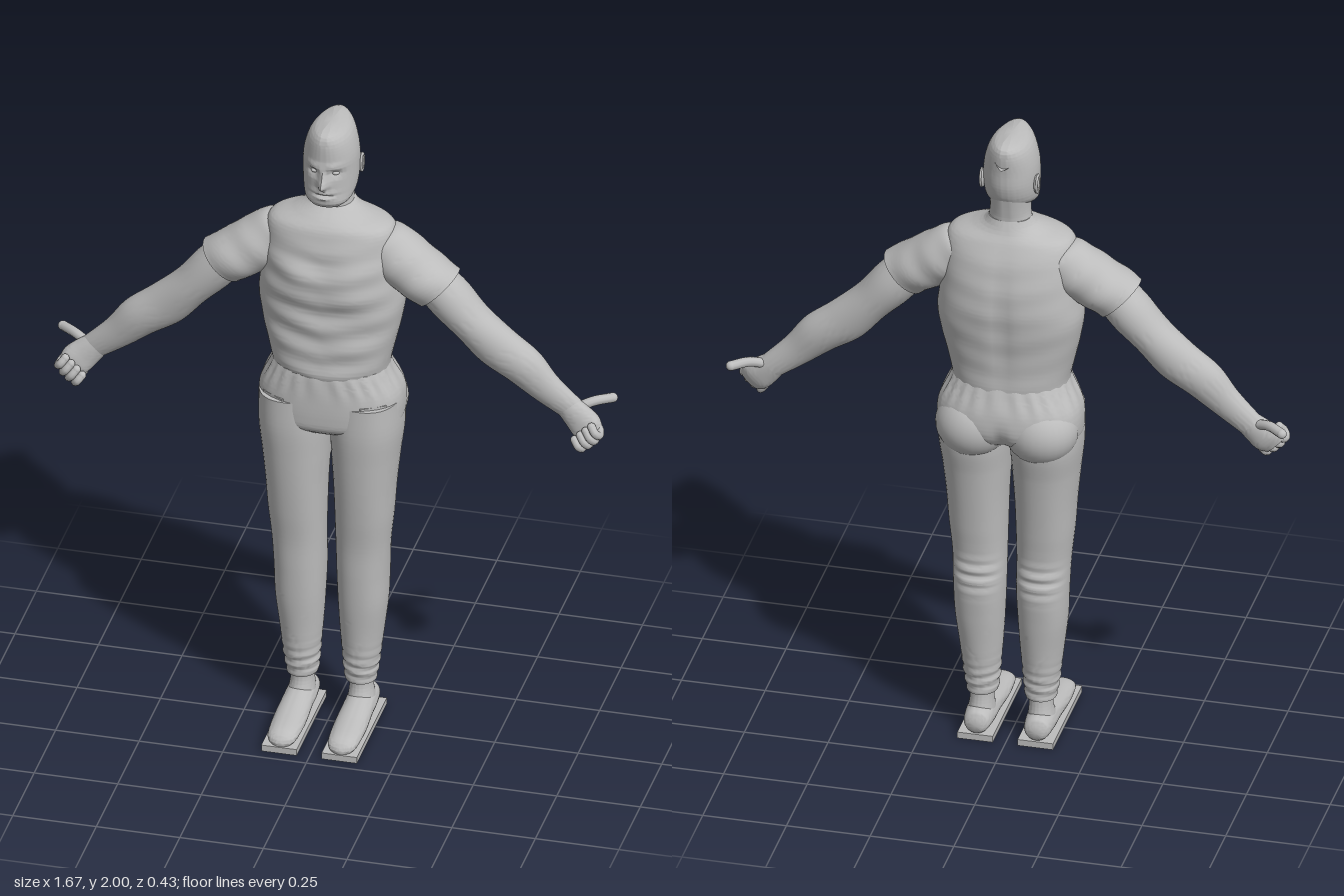
import * as THREE from 'three';
import { mergeGeometries, toCreasedNormals } from 'three/addons/utils/BufferGeometryUtils.js';

const V = (x, y, z) => new THREE.Vector3(x, y, z);
const X = V(1, 0, 0), Y = V(0, 1, 0), Z = V(0, 0, 1), ARM = V(0.707, 0.707, 0);

// Smooth closed loft. Rows are [x, y, z, radiusU, radiusV, power] and run along u cross v.
function loft(rows, u, v, { steps = 40, n = 40, deform } = {}) {
  const path = new THREE.CatmullRomCurve3(rows.map(r => V(r[0], r[1], r[2])), false, 'catmullrom');
  const size = new THREE.CatmullRomCurve3(rows.map(r => V(r[3], r[4], r[5] || 2)), false, 'catmullrom');
  const pos = [], index = [];
  for (let i = 0; i <= steps; i++) {
    const c = path.getPoint(i / steps), s = size.getPoint(i / steps);
    for (let j = 0; j < n; j++) {
      const a = (j / n) * Math.PI * 2, ca = Math.cos(a), sa = Math.sin(a);
      const round = t => Math.sign(t) * Math.abs(t) ** (2 / s.z);
      const p = c.clone().addScaledVector(u, s.x * round(ca)).addScaledVector(v, s.y * round(sa));
      if (deform) deform(p, ca, sa);
      pos.push(p.x, p.y, p.z);
      if (i < steps) {
        const k = i * n, j2 = (j + 1) % n;
        index.push(k + j, k + j2, k + n + j, k + j2, k + n + j2, k + n + j);
      }
    }
  }
  // end caps
  const first = pos.length / 3, last = steps * n;
  for (const t of [0, 1]) pos.push(...path.getPoint(t).toArray());
  for (let j = 0; j < n; j++) {
    const j2 = (j + 1) % n;
    index.push(first, j2, j, first + 1, last + j, last + j2);
  }
  const g = new THREE.BufferGeometry();
  g.setAttribute('position', new THREE.Float32BufferAttribute(pos, 3));
  g.setIndex(index);
  return toCreasedNormals(g, 0.95);
}

// Horizontal sections, top to bottom: [y, centreX, radiusX, frontZ, backZ, power]
const stack = (rows, opt) => loft(
  rows.map(([y, x, rx, f, b, p]) => [x, y, (f + b) / 2, rx, (f - b) / 2, p]), X, Z, opt);

function mirrored(geo) {
  const g = geo.index ? geo.toNonIndexed() : geo.clone();
  g.scale(-1, 1, 1);
  for (const key of ['position', 'normal']) {
    const a = g.attributes[key];
    for (let i = 0; i < a.count; i += 3) {
      const p = V().fromBufferAttribute(a, i + 1), q = V().fromBufferAttribute(a, i + 2);
      a.setXYZ(i + 1, q.x, q.y, q.z);
      a.setXYZ(i + 2, p.x, p.y, p.z);
    }
  }
  return g;
}

const ball = (x, y, z, rx, ry, rz) =>
  new THREE.SphereGeometry(1, 28, 20).scale(rx, ry, rz).translate(x, y, z);

// Round-ended tube through a few points
function finger(points, r) {
  const tube = new THREE.TubeGeometry(new THREE.CatmullRomCurve3(points), 14, r, 10);
  const ends = [points[0], points[points.length - 1]].map(p => ball(p.x, p.y, p.z, r, r, r));
  return mergeGeometries([tube, ...ends]);
}

const bell = (d, w) => Math.exp(-((d / w) ** 2));

export function createModel() {
  const model = new THREE.Group();
  const grey = new THREE.MeshStandardMaterial({ color: 0xbcbcbc });
  grey.name = 'grey';
  const add = (name, geo) => {
    const m = new THREE.Mesh(geo, grey);
    m.name = name;
    model.add(m);
  };
  const pair = (name, geo) => {
    add(name + 'Left', geo);
    add(name + 'Right', mirrored(geo));
  };

  // Head, with face modelled by soft bumps
  add('head', stack([
    [1.999, 0, 0.018, 0.03, -0.13], [1.988, 0, 0.046, 0.047, -0.153], [1.962, 0, 0.066, 0.054, -0.157],
    [1.91, 0, 0.08, 0.053, -0.152], [1.85, 0, 0.082, 0.05, -0.147], [1.8, 0, 0.078, 0.05, -0.125],
    [1.772, 0, 0.067, 0.052, -0.075], [1.756, 0, 0.046, 0.042, -0.025],
  ], {
    steps: 72, n: 80, deform: (p, ca, sa) => {
      if (sa <= 0) return;
      const ax = Math.abs(p.x), y = p.y;
      p.z += 0.032 * bell(ax, 0.014) * bell(y - 1.836, 0.017)      // nose tip
        + 0.016 * bell(ax, 0.011) * bell(y - 1.862, 0.022)         // nose bridge
        + 0.007 * bell(ax - 0.03, 0.028) * bell(y - 1.894, 0.01)   // brow
        - 0.013 * bell(ax - 0.032, 0.018) * bell(y - 1.871, 0.012) // eye socket
        + 0.008 * bell(ax, 0.03) * bell(y - 1.807, 0.006)          // upper lip
        - 0.006 * bell(ax, 0.03) * bell(y - 1.797, 0.004)          // mouth
        + 0.007 * bell(ax, 0.025) * bell(y - 1.788, 0.006);        // lower lip
    },
  }));
  pair('eye', ball(0.031, 1.87, 0.027, 0.012, 0.007, 0.012));
  pair('ear', mergeGeometries([
    ball(0.08, 1.852, -0.078, 0.008, 0.031, 0.018),
    new THREE.TorusGeometry(0.016, 0.004, 8, 24).scale(1, 1.6, 1).rotateY(Math.PI / 2).translate(0.084, 1.852, -0.078),
  ]));
  // Swept tuft at the back of the hair
  add('hairTuft', loft([
    [0, 1.965, -0.1, 0.05, 0.026], [0, 1.96, -0.145, 0.032, 0.027], [0, 1.952, -0.168, 0.016, 0.018], [0, 1.945, -0.185, 0.003, 0.004],
  ], X, Y, { steps: 16, n: 20 }));
  add('neck', stack([
    [1.84, 0, 0.06, -0.01, -0.139], [1.77, 0, 0.06, -0.005, -0.126], [1.73, 0, 0.064, -0.012, -0.122], [1.68, 0, 0.075, 0.005, -0.13],
  ]));

  // Shirt body with sloping shoulders and cloth folds
  add('shirt', stack([
    [1.738, 0, 0.062, -0.03, -0.122], [1.718, 0, 0.08, 0.002, -0.13], [1.7, 0, 0.115, 0.03, -0.138], [1.672, 0, 0.18, 0.053, -0.155, 2.2],
    [1.62, 0, 0.196, 0.066, -0.178, 2.3], [1.55, 0, 0.203, 0.08, -0.195, 2.3], [1.48, 0, 0.21, 0.086, -0.202, 2.3],
    [1.42, 0, 0.216, 0.079, -0.199, 2.3], [1.35, 0, 0.206, 0.078, -0.19, 2.3], [1.28, 0, 0.19, 0.08, -0.182, 2.3],
    [1.22, 0, 0.176, 0.08, -0.18, 2.3], [1.19, 0, 0.172, 0.074, -0.178, 2.3],
  ], {
    steps: 100, n: 72, deform: (p, ca, sa) => {
      const ax = Math.abs(p.x), low = Math.min(1, Math.max(0, (1.68 - p.y) / 0.1));
      const fold = Math.sin(p.y * 75 - ax * 14) + 0.5 * Math.sin(p.y * 43 + p.x * 22);
      p.z += low * (sa > 0 ? 0.0035 * fold * sa : 0.001 * fold * sa);
      p.z += 0.01 * bell(ax - 0.085, 0.06) * bell(p.y - 1.52, 0.06) * Math.max(0, sa); // chest
      p.z += 0.01 * bell(ax, 0.025) * bell(p.y - 1.42, 0.18) * Math.max(0, -sa);       // spine
    },
  }));

  // Arms
  pair('sleeve', loft([
    [0.09, 1.61, -0.06, 0.04, 0.05], [0.14, 1.61, -0.06, 0.075, 0.075], [0.2, 1.567, -0.054, 0.085, 0.086], [0.26, 1.528, -0.046, 0.082, 0.088],
    [0.3, 1.503, -0.042, 0.08, 0.087], [0.325, 1.486, -0.042, 0.08, 0.08],
  ], ARM, Z, { deform: p => { p.z += 0.002 * Math.sin((p.x - p.y) * 50 + p.z * 20); } }));
  pair('arm', loft([
    [0.28, 1.53, -0.045, 0.06, 0.06], [0.35, 1.455, -0.05, 0.068, 0.068], [0.42, 1.38, -0.05, 0.062, 0.063],
    [0.495, 1.307, -0.052, 0.068, 0.055], [0.575, 1.25, -0.052, 0.063, 0.049], [0.64, 1.187, -0.053, 0.05, 0.036],
    [0.715, 1.125, -0.058, 0.04, 0.027],
  ], ARM, Z));
  pair('palm', loft([
    [0.695, 1.142, -0.058, 0.036, 0.027], [0.735, 1.106, -0.052, 0.046, 0.029],
    [0.765, 1.078, -0.045, 0.048, 0.029, 2.5], [0.786, 1.058, -0.04, 0.038, 0.02],
  ], ARM, Z, { steps: 20, n: 28 }));
  const curls = [];
  for (let i = 0; i < 4; i++) {
    const o = (i - 1.5) * 0.021, k = 1 - Math.abs(i - 1.6) * 0.12;
    const at = (d, z) => V(0.765 + o * 0.8 + d * 0.6 * k, 1.073 + o * 0.8 - d * 0.8 * k, z);
    curls.push(finger([at(0, -0.042), at(0.03, -0.036), at(0.038, -0.012), at(0.02, 0.0), at(-0.005, -0.008)], 0.0125));
  }
  pair('curledFingers', mergeGeometries(curls));
  pair('thumb', finger([V(0.72, 1.125, -0.055), V(0.775, 1.143, -0.085), V(0.823, 1.142, -0.12)], 0.0145));

  // Trousers: gathered waist, hips and seat
  add('trouserHips', stack([
    [1.21, 0, 0.17, 0.076, -0.176, 2.3], [1.18, 0, 0.182, 0.08, -0.186, 2.4], [1.12, 0, 0.21, 0.083, -0.204, 2.5],
    [1.06, 0, 0.215, 0.083, -0.205, 2.5], [1.02, 0, 0.205, 0.077, -0.18, 2.4], [0.995, 0, 0.15, 0.05, -0.13, 2.2],
  ], {
    steps: 50, n: 120, deform: (p, ca, sa) => {
      const g = 0.003 * bell(p.y - 1.17, 0.035) * Math.sin(Math.atan2(sa, ca) * 24);
      p.x += g * ca;
      p.z += g * sa;
      p.z += 0.016 * bell(p.x, 0.02) * bell(p.y - 1.03, 0.05) * Math.max(0, -sa); // seat cleft
    },
  }));
  pair('seat', ball(0.102, 1.055, -0.11, 0.11, 0.105, 0.105));
  pair('pocket', new THREE.BoxGeometry(0.08, 0.006, 0.012).rotateY(0.55).translate(0.148, 1.105, 0.05));

  // Trouser legs with folds behind the knee and at the cuff
  pair('trouserLeg', stack([
    [1.1, 0.108, 0.102, 0.079, -0.18, 2.4], [1, 0.107, 0.106, 0.08, -0.186, 2.3], [0.9, 0.104, 0.099, 0.072, -0.168, 2.2],
    [0.8, 0.102, 0.091, 0.062, -0.153, 2.2], [0.7, 0.1, 0.086, 0.05, -0.14, 2.2], [0.6, 0.096, 0.08, 0.037, -0.13, 2.2],
    [0.5, 0.094, 0.077, 0.032, -0.141, 2.2], [0.4, 0.094, 0.073, 0.026, -0.132, 2.2], [0.3, 0.091, 0.065, 0.017, -0.12],
    [0.2, 0.089, 0.054, 0.009, -0.109], [0.135, 0.087, 0.046, 0.001, -0.103],
  ], {
    steps: 140, n: 40, deform: (p, ca, sa) => {
      const knee = 0.006 * bell(p.y - 0.545, 0.045) * Math.max(0, -sa) * Math.sin(p.y * 170);
      const cuff = 0.003 * bell(p.y - 0.185, 0.05) * Math.sin(p.y * 190 + ca * 1.5);
      p.x += cuff * ca;
      p.z += (knee + cuff) * sa;
    },
  }));

  // Feet
  pair('ankle', stack([[0.17, 0.087, 0.035, -0.014, -0.092], [0.11, 0.088, 0.035, -0.012, -0.096], [0.06, 0.09, 0.042, 0.01, -0.11]]));
  pair('shoe', loft([
    [0.09, 0.045, -0.13, 0.022, 0.022], [0.09, 0.052, -0.115, 0.038, 0.036], [0.09, 0.054, -0.06, 0.045, 0.041],
    [0.09, 0.052, 0, 0.046, 0.037], [0.09, 0.043, 0.09, 0.049, 0.031], [0.09, 0.038, 0.17, 0.045, 0.025],
    [0.09, 0.032, 0.2, 0.034, 0.018], [0.09, 0.027, 0.213, 0.012, 0.008],
  ], X, Y, { n: 32 }));
  pair('sole', new THREE.BoxGeometry(0.106, 0.02, 0.35).translate(0.09, 0.01, 0.041));
  return model;
}
